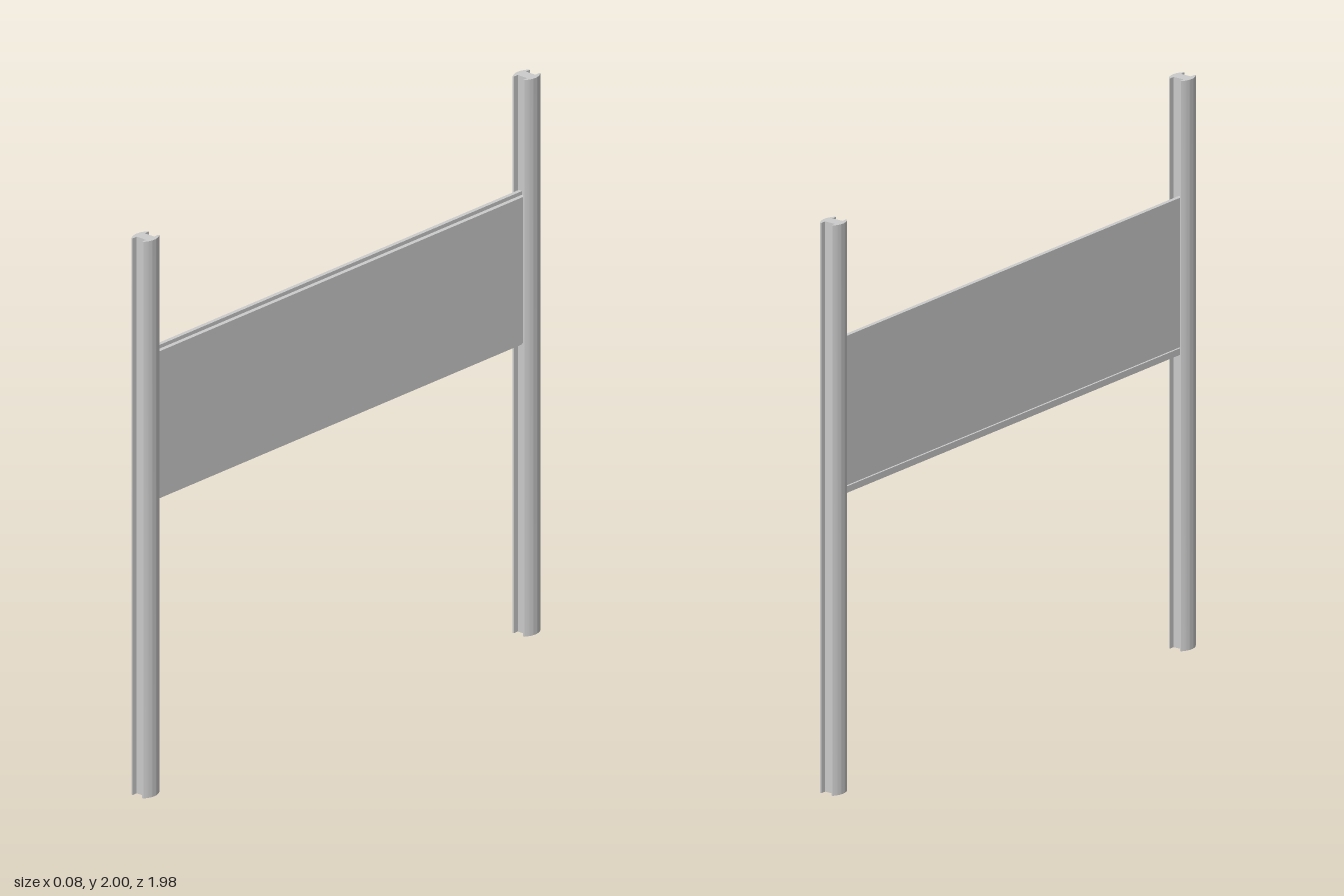
import * as THREE from 'three';
import { toCreasedNormals } from 'three/addons/utils/BufferGeometryUtils.js';

const material = new THREE.MeshStandardMaterial({ color: 0xcccccc });

// Post section: bowed outer sides, thin tips and a solid web between two slots
function postGeometry(height) {
  const tip = 0.026, inner = 0.021, half = 0.04, web = 0.02;
  const s = new THREE.Shape();
  s.moveTo(tip, -half);
  s.quadraticCurveTo(0.054, 0, tip, half);
  s.lineTo(inner, half);
  s.lineTo(inner, web);
  s.lineTo(-inner, web);
  s.lineTo(-inner, half);
  s.lineTo(-tip, half);
  s.quadraticCurveTo(-0.054, 0, -tip, -half);
  s.lineTo(-inner, -half);
  s.lineTo(-inner, -web);
  s.lineTo(inner, -web);
  s.lineTo(inner, -half);
  const g = new THREE.ExtrudeGeometry(s, { depth: height, bevelEnabled: false, curveSegments: 12 });
  g.rotateX(-Math.PI / 2);
  return toCreasedNormals(g, 0.5);
}

function slab(name, x0, x1, y0, y1, length) {
  const m = new THREE.Mesh(new THREE.BoxGeometry(x1 - x0, y1 - y0, length), material);
  m.position.set((x0 + x1) / 2, (y0 + y1) / 2, 0);
  m.name = name;
  return m;
}

export function createModel() {
  const model = new THREE.Group();
  model.name = 'postAndPanel';

  // Two upright posts
  const post = postGeometry(2);
  for (const [name, z] of [['frontPost', 0.95], ['backPost', -0.95]]) {
    const m = new THREE.Mesh(post, material);
    m.position.z = z;
    m.name = name;
    model.add(m);
  }

  // Panel seated in the slots, with a lip along its top and bottom
  const panel = new THREE.Group();
  panel.name = 'panel';
  panel.add(
    slab('panelSheet', -0.01, 0.014, 1.05, 1.575, 1.86),
    slab('topLip', -0.017, -0.002, 1.565, 1.588, 1.86),
    slab('bottomLip', -0.017, -0.002, 1.037, 1.06, 1.86)
  );
  model.add(panel);
  return model;
}
